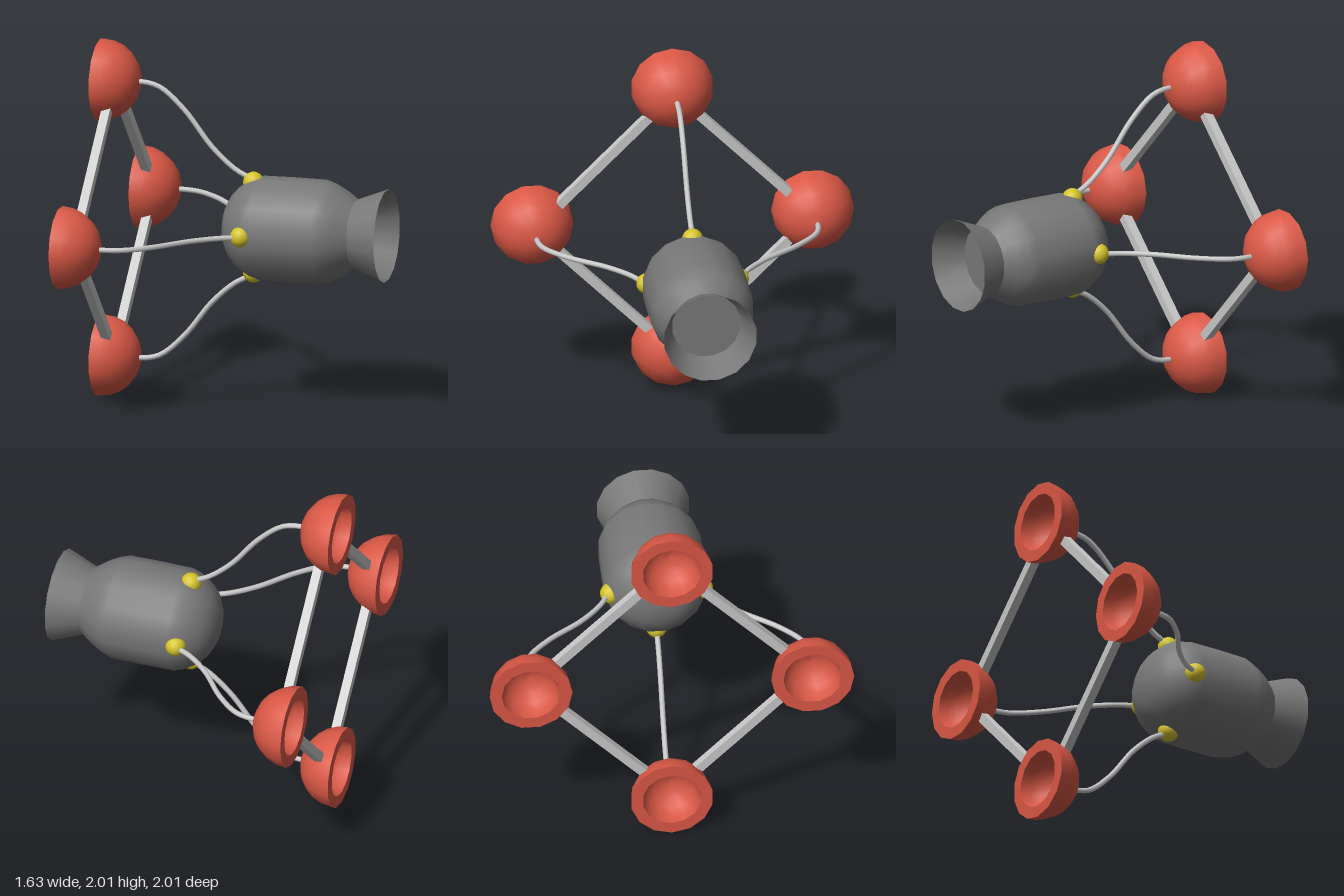
import * as THREE from 'three';

const red = new THREE.MeshStandardMaterial({ color: 0xda5846 });
red.name = 'red';
const grey = new THREE.MeshStandardMaterial({ color: 0x787878, side: THREE.DoubleSide });
grey.name = 'dark grey';
const silver = new THREE.MeshStandardMaterial({ color: 0xc8c8c8 });
silver.name = 'silver';
const yellow = new THREE.MeshStandardMaterial({ color: 0xd6c42c });
yellow.name = 'yellow';

const SPREAD = 0.775; // distance of each cup from the main axis
const CUP_X = -0.82;

function add(parent, name, geometry, material, x = 0, y = 0, z = 0) {
  const mesh = new THREE.Mesh(geometry, material);
  mesh.name = name;
  mesh.position.set(x, y, z);
  parent.add(mesh);
  return mesh;
}

// Lathe turned about the x axis; profile points are [x, radius]
function turned(profile, sides) {
  const points = profile.map(([x, r]) => new THREE.Vector2(r, x));
  return new THREE.LatheGeometry(points, sides, Math.PI / sides).rotateZ(-Math.PI / 2);
}

// Quarter circle from the rim (x = 0) to the pole
function quarter(radius, steps) {
  return Array.from({ length: steps + 1 }, (_, i) => {
    const a = (i / steps) * Math.PI / 2;
    return [radius * Math.sin(a), i === steps ? 0 : radius * Math.cos(a)];
  });
}

// Hollow half-sphere with a thick flat rim
function makeCup() {
  const cup = new THREE.Group();
  cup.name = 'cup';
  add(cup, 'cupShell', turned(quarter(0.228, 6), 14), red);
  add(cup, 'cupRim', turned([[0, 0.162], [0, 0.228]], 14), red);
  add(cup, 'cupHollow', turned(quarter(0.162, 5).reverse(), 14), red);
  return cup;
}

// Cup, curved pipe and joint ball, built pointing up
function makeArm() {
  const arm = new THREE.Group();
  arm.name = 'arm';
  const cup = makeCup();
  cup.position.set(CUP_X, SPREAD, 0);
  arm.add(cup);
  const path = new THREE.CatmullRomCurve3([
    [-0.62, 0.776], [-0.55, 0.773], [-0.47, 0.748], [-0.335, 0.63],
    [-0.18, 0.435], [-0.05, 0.32], [0.04, 0.273],
  ].map(([x, y]) => new THREE.Vector3(x, y, 0)));
  add(arm, 'pipe', new THREE.TubeGeometry(path, 24, 0.015, 8), silver);
  add(arm, 'jointBall', new THREE.SphereGeometry(0.058, 14, 10), yellow, 0.055, 0.253);
  return arm;
}

export function createModel() {
  const model = new THREE.Group();
  model.name = 'rocketEngine';

  const core = new THREE.Group();
  core.name = 'core';
  core.position.y = 1;
  model.add(core);

  // Tank with a domed nose and tapered tail
  add(core, 'tank', turned([
    [-0.11, 0], [-0.106, 0.06], [-0.09, 0.125], [-0.058, 0.185], [-0.01, 0.235],
    [0.045, 0.269], [0.1, 0.286], [0.28, 0.288], [0.46, 0.286], [0.515, 0.269],
    [0.57, 0.24], [0.64, 0.19],
  ], 16), grey);
  add(core, 'tankEnd', turned([[0.64, 0.19], [0.64, 0]], 16), grey);

  // Open flared nozzle
  add(core, 'nozzle', turned([[0.64, 0.19], [0.815, 0.258]], 16), grey);

  // Four arms and the square bars joining neighbouring cups
  const barLength = SPREAD * Math.SQRT2 - 0.38;
  for (let i = 0; i < 4; i++) {
    const arm = makeArm();
    arm.rotation.x = i * Math.PI / 2;
    core.add(arm);

    const brace = new THREE.Group();
    brace.name = 'brace';
    brace.rotation.x = (i + 0.5) * Math.PI / 2;
    add(brace, 'braceBar', new THREE.BoxGeometry(0.05, 0.05, barLength), silver,
      -0.74, SPREAD / Math.SQRT2, 0);
    core.add(brace);
  }
  return model;
}
